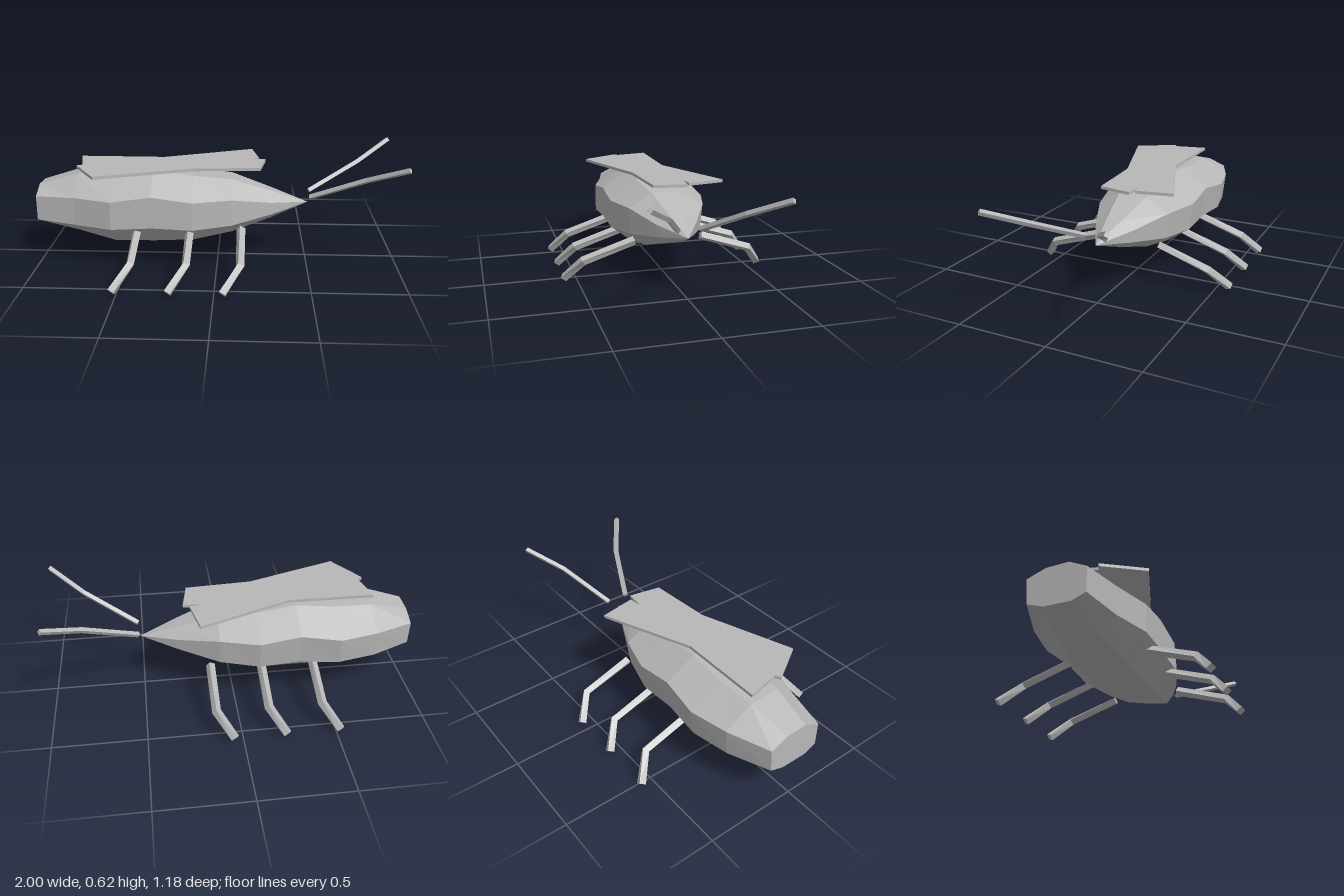
import * as THREE from 'three';

const shell = new THREE.MeshStandardMaterial({ color: 0xb8b8b8, flatShading: true });
shell.name = 'grey shell';

// Skin a list of equal-sized rings, with flat caps; rings run counter-clockwise seen from the far end.
function loft(rings) {
  const pos = [];
  const tri = (...p) => p.forEach((v) => pos.push(v.x, v.y, v.z));
  const n = rings[0].length;
  for (let i = 0; i < rings.length - 1; i++) {
    for (let j = 0; j < n; j++) {
      const k = (j + 1) % n;
      const a = rings[i][j], b = rings[i][k], c = rings[i + 1][k], d = rings[i + 1][j];
      tri(a, b, c);
      tri(a, c, d);
    }
  }
  const first = rings[0], last = rings[rings.length - 1];
  for (let j = 1; j < n - 1; j++) {
    tri(first[0], first[j + 1], first[j]);
    tri(last[0], last[j], last[j + 1]);
  }
  const geo = new THREE.BufferGeometry();
  geo.setAttribute('position', new THREE.Float32BufferAttribute(pos, 3));
  geo.computeVertexNormals();
  return geo;
}

// Four-sided rod following a bent path
function bentRod(points, radius) {
  const p = points.map((q) => new THREE.Vector3(...q));
  const dir = (i) => p[i + 1].clone().sub(p[i]).normalize();
  const rings = p.map((c, i) => {
    const t = new THREE.Vector3();
    if (i > 0) t.add(dir(i - 1));
    if (i < p.length - 1) t.add(dir(i));
    t.normalize();
    const side = new THREE.Vector3(0, 1, 0).cross(t).normalize();
    const up = t.clone().cross(side);
    return [0, 1, 2, 3].map((j) => {
      const a = (j * Math.PI) / 2 + 0.25;
      return c.clone().addScaledVector(side, radius * Math.cos(a)).addScaledVector(up, radius * Math.sin(a));
    });
  });
  return loft(rings);
}

function part(name, geo) {
  const mesh = new THREE.Mesh(geo, shell);
  mesh.name = name;
  return mesh;
}

// Octagonal body: x, top y, shoulder y, belly edge y, bottom y, right z, left z
function bodyGeometry() {
  const stations = [
    [-1, 0.43, 0.385, 0.25, 0.22, -0.16, 0.15],
    [-0.78, 0.495, 0.395, 0.24, 0.175, -0.25, 0.2],
    [-0.57, 0.51, 0.395, 0.24, 0.13, -0.295, 0.27],
    [-0.35, 0.53, 0.425, 0.25, 0.13, -0.275, 0.265],
    [-0.13, 0.5, 0.395, 0.24, 0.14, -0.28, 0.265],
    [0.08, 0.475, 0.395, 0.25, 0.18, -0.22, 0.205],
    [0.3, 0.4, 0.352, 0.285, 0.25, -0.11, 0.11],
    [0.505, 0.325, 0.325, 0.325, 0.325, 0, 0],
  ];
  return loft(stations.map(([x, top, shoulder, edge, bottom, r, l]) => [
    [top, l * 0.38], [top - 0.01 * Math.abs(r) / 0.28, r * 0.38], [shoulder, r], [edge, r * 0.93],
    [bottom, r * 0.4], [bottom, l * 0.52], [edge, l], [shoulder, l],
  ].map(([y, z]) => new THREE.Vector3(x, y, z)).reverse()));
}

// Thin folded wings, drawn as one notched plate seen from above
function wingGeometry() {
  const outline = [
    [-0.785, -0.1], [-0.31, -0.095], [0.19, -0.295], [0.23, -0.09], [0.15, -0.082],
    [0.265, -0.07], [0.235, 0.11], [-0.13, 0.133], [-0.645, 0.312], [-0.775, 0.1], [-0.745, 0.085],
  ];
  const shape = new THREE.Shape(outline.map(([x, z]) => new THREE.Vector2(x, z)));
  return new THREE.ExtrudeGeometry(shape, { depth: 0.016, bevelEnabled: false })
    .rotateX(Math.PI / 2).translate(0, 0.551, 0);
}

export function createModel() {
  const model = new THREE.Group();
  model.name = 'insect';
  model.add(part('body', bodyGeometry()), part('wings', wingGeometry()));

  for (const [label, s] of [['left', 1], ['right', -1]]) {
    // Three bent legs, feet swept backwards
    [['Rear', -0.435], ['Middle', -0.147], ['Front', 0.133]].forEach(([place, x]) => {
      model.add(part(`${label}${place}Leg`, bentRod([
        [x, 0.227, s * 0.19], [x, 0.133, s * 0.477], [x - 0.088, 0.018, s * 0.57],
      ], 0.025)));
    });
    // Antenna
    model.add(part(`${label}Antenna`, bentRod([
      [0.513, 0.373, s * 0.06], [0.8, 0.513, s * 0.19], [0.99, 0.61, s * 0.33],
    ], 0.016)));
  }
  return model;
}
